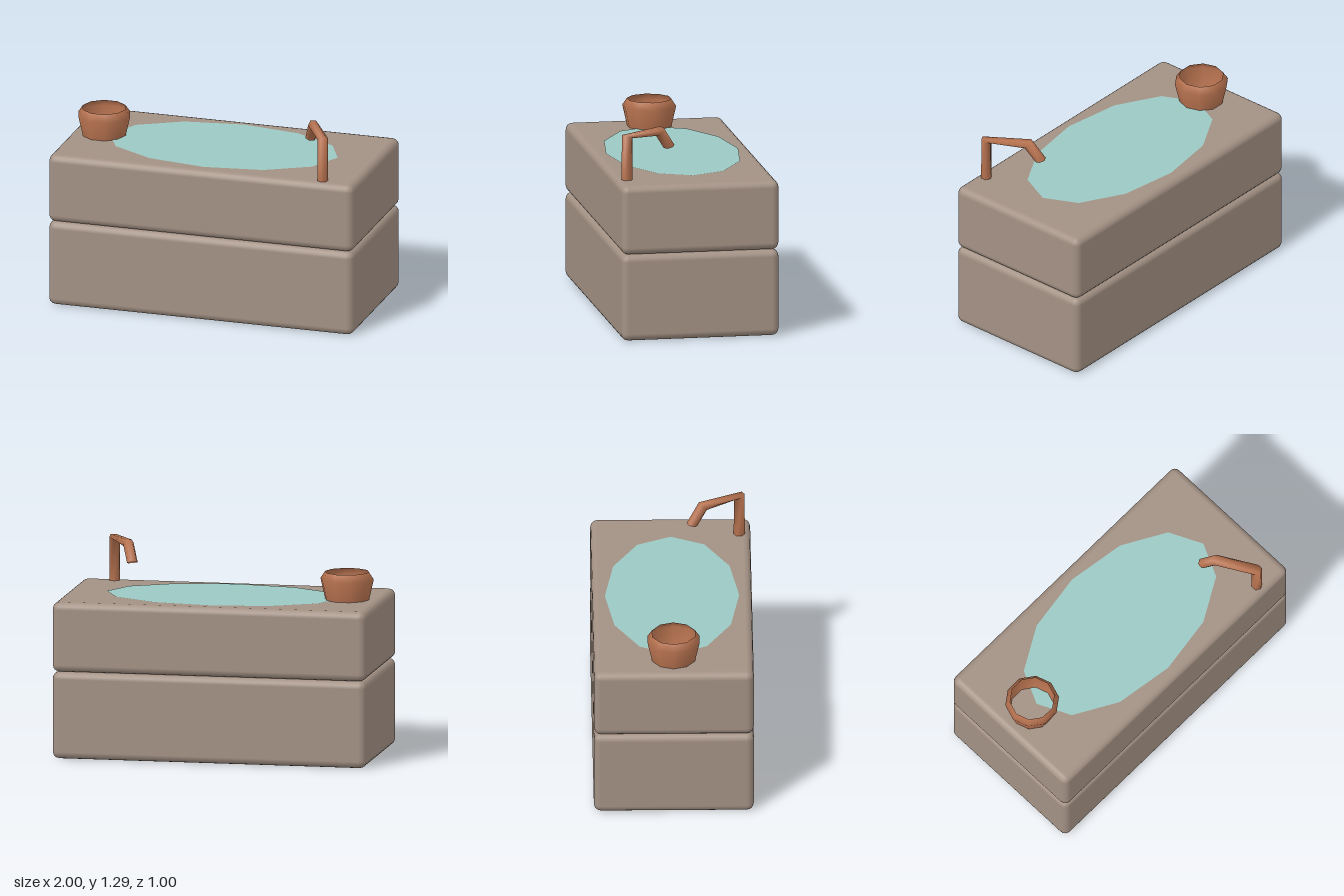
import * as THREE from 'three';
import { RoundedBoxGeometry } from 'three/addons/geometries/RoundedBoxGeometry.js';

// Hexagonal tube through rings given as [distance along, height, tilt from vertical]
function ringTube(rings, radius, sides) {
  const pos = [], index = [];
  rings.forEach(([s, y, tilt], r) => {
    for (let i = 0; i < sides; i++) {
      const a = (i / sides) * Math.PI * 2;
      const u = Math.sin(a) * radius;
      pos.push(s + u * Math.cos(tilt), y - u * Math.sin(tilt), Math.cos(a) * radius);
      if (r === 0) continue;
      const j = (i + 1) % sides, lo = (r - 1) * sides, hi = r * sides;
      index.push(lo + i, lo + j, hi + j, lo + i, hi + j, hi + i);
    }
  });
  const geo = new THREE.BufferGeometry();
  geo.setAttribute('position', new THREE.Float32BufferAttribute(pos, 3));
  geo.setIndex(index);
  geo.computeVertexNormals();
  return geo;
}

export function createModel() {
  const group = new THREE.Group();
  const stone = new THREE.MeshStandardMaterial({ name: 'stone', color: 0xa39184 });
  const water = new THREE.MeshStandardMaterial({ name: 'water', color: 0x9cc8c3 });
  const copper = new THREE.MeshStandardMaterial({ name: 'copper', color: 0xb87350, side: THREE.DoubleSide });

  const add = (name, geo, mat, x, y, z) => {
    const mesh = new THREE.Mesh(geo, mat);
    mesh.name = name;
    mesh.position.set(x, y, z);
    group.add(mesh);
    return mesh;
  };

  // Two stacked rounded blocks
  add('lowerBlock', new RoundedBoxGeometry(2, 0.55, 1, 2, 0.045), stone, 0, 0.275, 0);
  add('upperBlock', new RoundedBoxGeometry(2, 0.44, 1, 2, 0.045), stone, 0, 0.77, 0);

  // Twelve-sided oval water surface
  const surface = add('waterSurface', new THREE.CircleGeometry(1, 12), water, 0, 0.993, 0);
  surface.rotation.x = -Math.PI / 2;
  surface.scale.set(0.745, 0.42, 1);

  // Ten-sided open bowl
  const profile = [[0.14, 0], [0.17, 0.13], [0.14, 0.175]].map(([x, y]) => new THREE.Vector2(x, y));
  add('bowl', new THREE.LatheGeometry(profile, 10, Math.PI / 2), copper, -0.785, 0.99, 0);

  // Bent tap reaching diagonally over the water
  const tapRings = [[0, 0, 0], [0, 0.275, 0.38], [0.265, 0.275, 2.2], [0.345, 0.165, 2.85]];
  const tap = add('tap', ringTube(tapRings, 0.035, 6), copper, 0.783, 0.99, 0.43);
  tap.rotation.y = (Math.PI * 2) / 3;

  return group;
}
